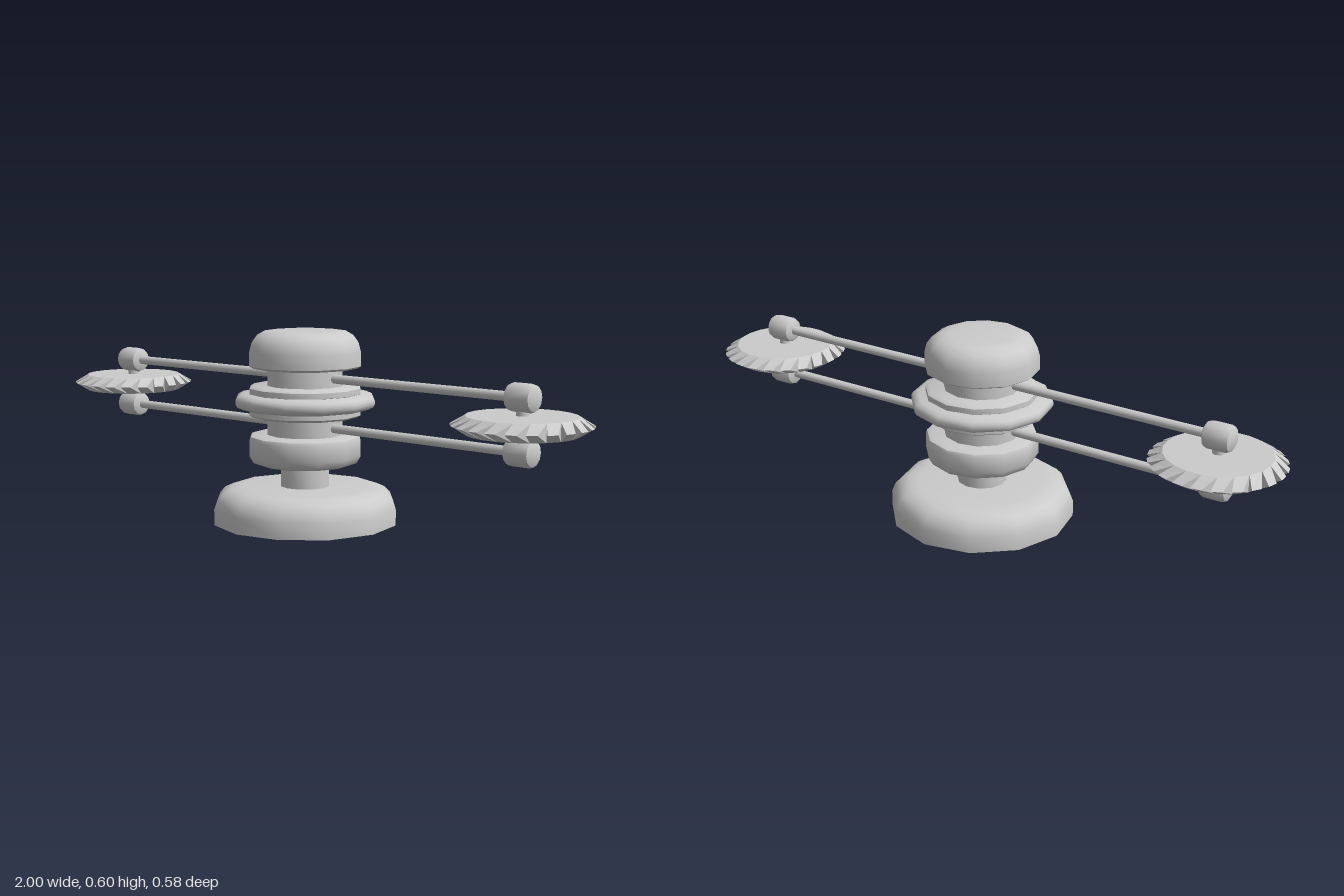
import * as THREE from 'three';
import { toCreasedNormals } from 'three/addons/utils/BufferGeometryUtils.js';

const material = new THREE.MeshStandardMaterial({ color: 0xcccccc });

function add(parent, name, geometry, x = 0, y = 0, z = 0) {
  const mesh = new THREE.Mesh(geometry, material);
  mesh.name = name;
  mesh.position.set(x, y, z);
  parent.add(mesh);
  return mesh;
}

// Turned solid from [radius, height] pairs, listed from bottom to top
function turned(profile, sides = 12) {
  const points = profile.map(([r, y]) => new THREE.Vector2(r, y));
  return toCreasedNormals(new THREE.LatheGeometry(points, sides), 0.75);
}

// Flat disc whose rim carries swept teeth that thin to an edge at mid height
function sawBlade(teeth, inner, outer, h) {
  const positions = [];
  const step = (Math.PI * 2) / teeth;
  const at = (r, a, y) => [r * Math.cos(a), y, r * Math.sin(a)];
  const tri = (a, b, c) => positions.push(...a, ...b, ...c);
  for (let i = 0; i < teeth; i++) {
    const a = i * step, b = a + step;
    const topA = at(inner, a, h), topB = at(inner, b, h);
    const lowA = at(inner, a, -h), lowB = at(inner, b, -h);
    const tipA = at(outer, a + step * 0.75, 0), tipB = at(outer, a + step * 1.3, 0);
    // disc faces
    tri([0, h, 0], topB, topA);
    tri([0, -h, 0], lowA, lowB);
    // upper and lower slopes of the tooth
    tri(topA, topB, tipB);
    tri(topA, tipB, tipA);
    tri(lowA, tipB, lowB);
    tri(lowA, tipA, tipB);
    // side walls of the tooth
    tri(topA, tipA, lowA);
    tri(topB, lowB, tipB);
  }
  const geometry = new THREE.BufferGeometry();
  geometry.setAttribute('position', new THREE.Float32BufferAttribute(positions, 3));
  geometry.computeVertexNormals();
  return geometry;
}

export function createModel() {
  const model = new THREE.Group();
  model.name = 'spinningBladePost';

  // Central post
  add(model, 'base', turned([
    [0, 0], [0.291, 0], [0.291, 0.05], [0.28, 0.078], [0.262, 0.097], [0.235, 0.109], [0.2, 0.113], [0, 0.113],
  ]));
  add(model, 'stem', turned([[0.078, 0.1], [0.078, 0.2]]));
  add(model, 'lowerCollar', turned([
    [0, 0.182], [0.142, 0.182], [0.165, 0.19], [0.178, 0.212], [0.178, 0.262], [0.174, 0.272], [0.16, 0.277], [0, 0.277],
  ]));
  add(model, 'column', turned([[0.12, 0.27], [0.12, 0.495]]));
  add(model, 'head', turned([
    [0, 0.485], [0.166, 0.485], [0.178, 0.492], [0.178, 0.535], [0.171, 0.562], [0.155, 0.583], [0.13, 0.597], [0.1, 0.6], [0, 0.6],
  ]));

  // Stacked rings between collar and head
  for (const [name, y] of [['lowerRing', 0.333], ['upperRing', 0.399]]) {
    add(model, name, turned([
      [0, 0], [0.165, 0], [0.177, 0.007], [0.177, 0.024], [0.165, 0.031], [0, 0.031],
    ]), 0, y);
  }
  add(model, 'middleRing', turned([
    [0, 0.358], [0.2, 0.358], [0.217, 0.366], [0.222, 0.376], [0.222, 0.387], [0.217, 0.397], [0.2, 0.405], [0, 0.405],
  ]));

  // Rotor: two rods carrying a blade at each end
  const rotor = new THREE.Group();
  rotor.name = 'rotor';
  rotor.rotation.y = 0.06;
  model.add(rotor);

  const knob = turned([
    [0, -0.045], [0.025, -0.045], [0.037, -0.039], [0.041, -0.028],
    [0.041, 0.028], [0.037, 0.039], [0.025, 0.045], [0, 0.045],
  ]);
  for (const [level, y] of [['upper', 0.457], ['lower', 0.304]]) {
    add(rotor, level + 'Rod', new THREE.CylinderGeometry(0.014, 0.014, 1.58, 12), 0, y).rotation.z = Math.PI / 2;
    for (const [side, s] of [['left', 1], ['right', -1]]) {
      add(rotor, `${side}${level === 'upper' ? 'Upper' : 'Lower'}Knob`, knob, s * 0.8, y).rotation.z = Math.PI / 2;
    }
  }

  const blade = sawBlade(22, 0.158, 0.2, 0.026);
  for (const [side, s] of [['left', 1], ['right', -1]]) {
    add(rotor, side + 'Blade', blade, s * 0.8, 0.381).rotation.y = s > 0 ? 0 : Math.PI;
    add(rotor, side + 'Axle', new THREE.CylinderGeometry(0.018, 0.018, 0.14, 12), s * 0.8, 0.381);
  }
  return model;
}
